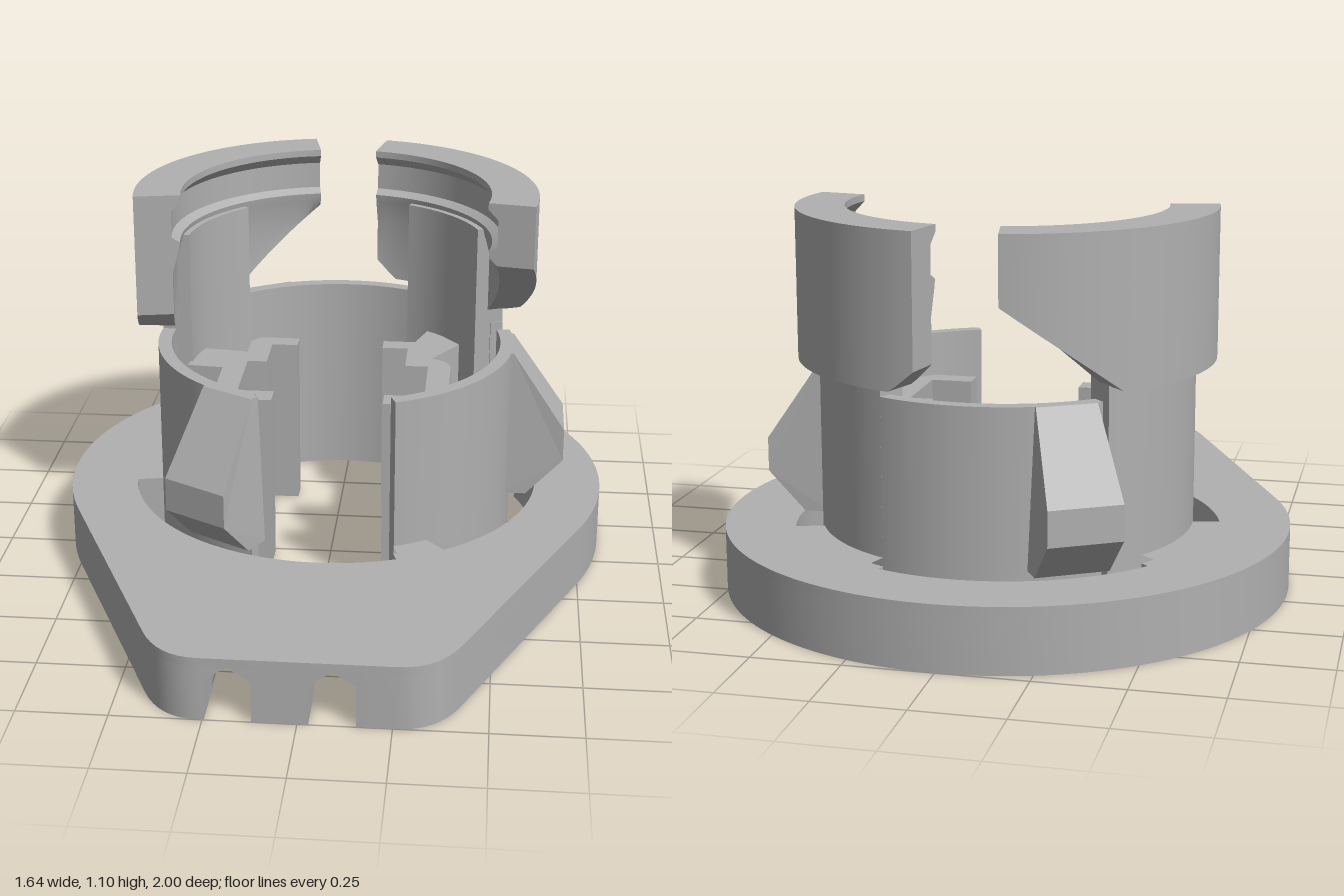
import * as THREE from 'three';
import { toCreasedNormals } from 'three/addons/utils/BufferGeometryUtils.js';

const CZ = -0.18; // centre of the round socket along z
const rad = (d) => (d * Math.PI) / 180;
const grey = new THREE.MeshStandardMaterial({ color: 0xb0b0b0 });
grey.name = 'light grey';

// Point on a circle about the socket axis, angle from +x towards the back
const polar = (r, deg) => [r * Math.cos(rad(deg)), CZ - r * Math.sin(rad(deg))];

// Closed solid through equal loops of 3D points; profile is a 2D loop for the end caps
function sweep(sections, profile) {
  const caps = THREE.ShapeUtils.triangulateShape(profile.map((p) => new THREE.Vector2(...p)), []);
  const n = profile.length, last = sections.length - 1, tris = [];
  for (let s = 0; s < last; s++) {
    for (let j = 0; j < n; j++) {
      const k = (j + 1) % n, A = sections[s], B = sections[s + 1];
      tris.push([A[j], A[k], B[k]], [A[j], B[k], B[j]]);
    }
  }
  for (const [a, b, c] of caps) {
    tris.push([sections[0][c], sections[0][b], sections[0][a]]);
    tris.push([sections[last][a], sections[last][b], sections[last][c]]);
  }
  let volume = 0;
  for (const [a, b, c] of tris) {
    volume += new THREE.Vector3(...a).dot(new THREE.Vector3(...b).cross(new THREE.Vector3(...c)));
  }
  const pos = tris.flatMap((t) => (volume < 0 ? [t[0], t[2], t[1]] : t)).flat();
  const geo = new THREE.BufferGeometry();
  geo.setAttribute('position', new THREE.Float32BufferAttribute(pos, 3));
  return toCreasedNormals(geo, 0.4);
}

const ccw = (pts) => (THREE.ShapeUtils.area(pts.map((p) => new THREE.Vector2(...p))) < 0 ? pts.slice().reverse() : pts);

// Profile (radius, height) swept round the socket; bottom(t) optionally trims the underside
function arcSolid(profile, from, to, bottom) {
  const pts = ccw(profile), sections = [];
  const steps = Math.ceil((to - from) / 2.5);
  for (let i = 0; i <= steps; i++) {
    const t = ((to - from) * i) / steps;
    sections.push(pts.map(([r, y]) => {
      const [x, z] = polar(r, from + t);
      return [x, bottom ? Math.max(y, bottom(t)) : y, z];
    }));
  }
  return sweep(sections, pts);
}
const band = (r0, r1, y0, y1) => [[r0, y0], [r1, y0], [r1, y1], [r0, y1]];

// Upright solid from a plan outline of (x, z) points
function prism(points, y0, y1, hole) {
  const shape = new THREE.Shape(points.map((p) => new THREE.Vector2(...p)));
  if (hole) shape.holes.push(new THREE.Path(hole.map((p) => new THREE.Vector2(...p))));
  const geo = new THREE.ExtrudeGeometry(shape, { depth: y1 - y0, bevelEnabled: false });
  geo.rotateX(Math.PI / 2).translate(0, y1, 0);
  return toCreasedNormals(geo, 0.4);
}

// Plate outline from the front right round the back to the front left
function plateOutline() {
  const corner = new THREE.QuadraticBezierCurve(
    new THREE.Vector2(0.26, 1), new THREE.Vector2(0.367, 1), new THREE.Vector2(0.424, 0.874));
  const right = corner.getPoints(8).map((p) => [p.x, p.y]);
  const left = right.map(([x, z]) => [-x, z]).reverse();
  const arc = [];
  for (let i = 0; i <= 80; i++) arc.push(polar(0.82, -24 + (228 * i) / 80));
  return [...right, ...arc, ...left];
}

// Hole edge, with inward bridges that meet the socket wall
const inBridge = (d) => (d >= 26 && d <= 64) || (d >= 146 && d <= 184) || (d >= 293 && d <= 304);
function holeEdge(from, to) {
  const pts = [];
  for (let d = Math.ceil(from); d <= to; d++) pts.push(polar(inBridge((d + 360) % 360) ? 0.53 : 0.62, d));
  return pts;
}

// Cable channel: centre line with a sideways bend, running from the front edge to the hole
const HALF = 0.0625;
const shift = (z) => -0.1 * THREE.MathUtils.smoothstep(z, 0.55, 0.85) + 0;
const channelX = (x0, z) => x0 - 0.1 - shift(z);
function channelEdge(x0, side) {
  const pts = [];
  for (let i = 0; i <= 28; i++) {
    const z = 1 - i * 0.025, x = channelX(x0, z) + side * HALF;
    if (Math.hypot(x, z - CZ) < 0.62) break;
    pts.push([x, z]);
  }
  const x = pts[pts.length - 1][0];
  pts.push([x, CZ + Math.sqrt(0.62 * 0.62 - x * x)]);
  return pts;
}
const angleOf = ([x, z]) => THREE.MathUtils.radToDeg(Math.atan2(CZ - z, x));

export function createModel() {
  const model = new THREE.Group();
  model.name = 'socketHolder';
  const add = (name, geo, parent = model) => {
    const mesh = new THREE.Mesh(geo, grey);
    mesh.name = name;
    parent.add(mesh);
    return mesh;
  };

  // Base plate: solid top skin over a lower layer split by two channels
  const outline = plateOutline(), ROOF = 0.16, EAVE = 0.12;
  const xs = [-0.183, 0.092];
  add('plateTop', prism(outline, ROOF, 0.185, holeEdge(0, 359)));
  const rightWall = channelEdge(xs[1], 1), leftWall = channelEdge(xs[0], -1);
  const rightEnd = angleOf(rightWall[rightWall.length - 1]);
  const leftEnd = angleOf(leftWall[leftWall.length - 1]) + 360;
  add('plateBody', prism([
    ...outline, ...leftWall,
    ...holeEdge(rightEnd + 1, leftEnd - 1).reverse(),
    ...rightWall.slice().reverse(),
  ], 0, ROOF));
  const innerA = channelEdge(xs[0], 1), innerB = channelEdge(xs[1], -1);
  const a0 = angleOf(innerA[innerA.length - 1]), a1 = angleOf(innerB[innerB.length - 1]);
  add('plateTongue', prism([...innerA, ...holeEdge(a0 + 1, a1 - 1), ...innerB.slice().reverse()], 0, ROOF));

  // Sloping channel roofs
  for (const x0 of xs) {
    for (const side of [-1, 1]) {
      const tri = ccw([[side * HALF, EAVE], [side * HALF, ROOF], [0, ROOF]]);
      const sections = [];
      for (let z = 1; z > 0.44; z -= 0.025) sections.push(tri.map(([x, y]) => [x + channelX(x0, z), y, z]));
      add('channelRoof', sweep(sections, tri));
    }
  }

  // Socket wall in three segments divided by the front gap and slits
  for (const [from, to] of [[20.6, 131], [133, 248], [293, 373]]) {
    add('socketWall', arcSolid(band(0.5, 0.54, 0, 0.635), from, to));
  }

  // Three snap wedges spaced evenly round the wall
  for (const deg of [0, 120, 240]) {
    const profile = [[0.51, 0.185], [0.59, 0.185], [0.7, 0.3], [0.7, 0.4], [0.54, 0.635], [0.51, 0.635]];
    const geo = new THREE.ExtrudeGeometry(
      new THREE.Shape(profile.map((p) => new THREE.Vector2(...p))), { depth: 0.21, bevelEnabled: false });
    geo.translate(0, 0, -0.105);
    const pos = geo.attributes.position;
    for (let i = 0; i < pos.count; i++) if (pos.getY(i) > 0.5) pos.setZ(i, pos.getZ(i) * 0.82);
    geo.computeVertexNormals();
    const wedge = add('snapWedge', geo);
    wedge.position.z = CZ;
    wedge.rotation.y = rad(deg);
  }

  // Two upper jaws on curved posts, with a lipped groove and a ramped underside
  const jawProfile = [
    [0.6, 0.67], [0.6, 1.1], [0.46, 1.1], [0.46, 1.08], [0.49, 1.05], [0.49, 0.97],
    [0.465, 0.955], [0.47, 0.93], [0.49, 0.86], [0.49, 0.67],
  ];
  const underside = (t) => {
    if (t < 33) return 0.91 - (0.24 * t) / 33;
    return t > 83 ? 0.67 + (0.06 * (t - 83)) / 7 : 0.67;
  };
  for (const start of [-11, 101]) {
    const jaw = new THREE.Group();
    jaw.name = 'jaw';
    model.add(jaw);
    add('jawRim', arcSolid(jawProfile, start, start + 90, underside), jaw);
    add('jawPost', arcSolid(band(0.45, 0.54, 0, 0.94), start + 32, start + 75), jaw);
  }

  // Inner brackets, each joined to its post
  add('leftBracket', prism([
    [0.13, -0.44], [0.23, -0.44], [0.27, -0.56], [0.37, -0.43], [0.29, -0.3], [0.33, -0.28], [0.35, -0.24],
    [0.35, 0.02], [0.29, 0.08], [0.16, 0.08], [0.16, 0.01], [0.28, 0.01],
    [0.28, -0.23], [0.21, -0.23], [0.21, -0.38], [0.13, -0.38],
  ], 0, 0.53));
  add('rightBracket', prism([
    [-0.14, -0.44], [-0.26, -0.44], [-0.29, -0.41], [-0.29, -0.31], [-0.44, -0.33], [-0.46, -0.18],
    [-0.35, -0.17], [-0.35, 0.05], [-0.32, 0.08], [-0.17, 0.08], [-0.17, 0.01], [-0.28, 0.01],
    [-0.28, -0.23], [-0.22, -0.23], [-0.22, -0.38], [-0.14, -0.38],
  ], 0, 0.53));

  return model;
}
